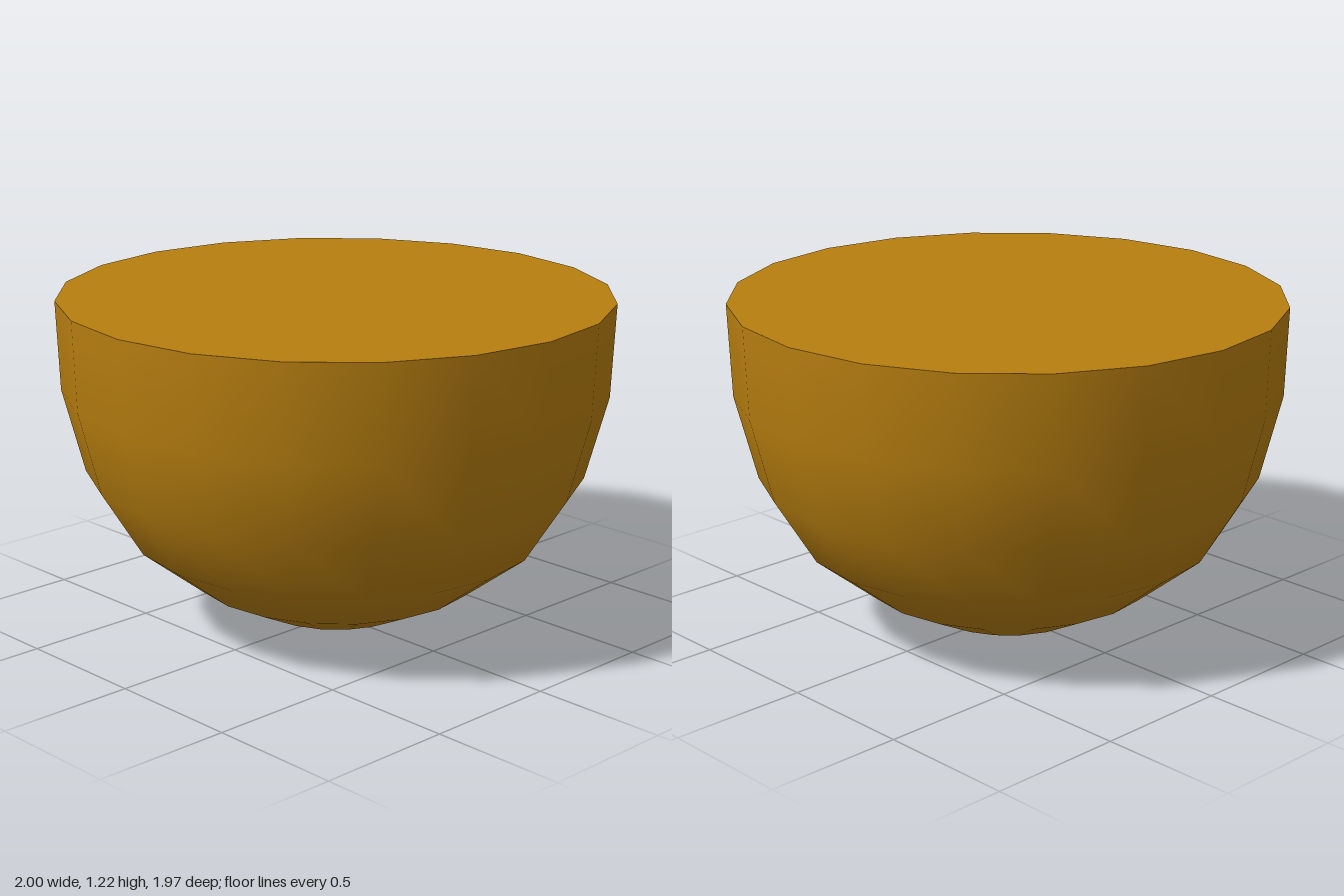
import * as THREE from 'three';

const SIDES = 20;
const RIM = 1.225;
const DEPTH = 0.987; // slight squash front to back

// Bowl outline as [radius, height], bottom to rim
const profile = [
  [0, 0.006], [0.14, 0.01], [0.3, 0.05], [0.53, 0.165],
  [0.76, 0.345], [0.91, 0.59], [0.988, 0.895], [1, RIM],
];

// Height of the bowl surface at a given radius
function heightAt(r) {
  for (let i = 1; i < profile.length; i++) {
    const [r0, y0] = profile[i - 1];
    const [r1, y1] = profile[i];
    if (r <= r1) return y0 + ((y1 - y0) * (r - r0)) / (r1 - r0);
  }
  return RIM;
}

// Lean the bowl slightly below its level rim
function lean(geometry) {
  const p = geometry.attributes.position;
  for (let i = 0; i < p.count; i++) {
    const x = p.getX(i), y = p.getY(i), z = p.getZ(i);
    const drop = RIM - y;
    const tilt = drop > 0.01 ? -0.016 * x - 0.004 * z : 0;
    p.setXYZ(i, x - 0.022 * drop, y + tilt, (z - 0.015 * drop) * DEPTH);
  }
  return geometry;
}

export function createModel() {
  const group = new THREE.Group();
  const shellColour = new THREE.MeshStandardMaterial({ color: 0xb87f10 });
  shellColour.name = 'golden brown';
  const spotColour = new THREE.MeshStandardMaterial({ color: 0x64380f });
  spotColour.name = 'dark brown';

  const add = (name, geometry, material) => {
    const mesh = new THREE.Mesh(geometry, material);
    mesh.name = name;
    group.add(mesh);
  };

  // Rounded bowl
  const points = profile.map(([r, y]) => new THREE.Vector2(r, y));
  add('bowl', lean(new THREE.LatheGeometry(points, SIDES)), shellColour);

  // Flat lid closing the rim
  const lid = new THREE.CircleGeometry(1, SIDES);
  lid.rotateX(-Math.PI / 2).translate(0, RIM, 0).scale(1, 1, DEPTH);
  add('lid', lid, shellColour);

  // Dark spot following the underside
  const spot = new THREE.RingGeometry(0, 0.12, 12, 4);
  spot.rotateX(Math.PI / 2).translate(0.08, 0, 0.14);
  const p = spot.attributes.position;
  for (let i = 0; i < p.count; i++) {
    p.setY(i, heightAt(Math.hypot(p.getX(i), p.getZ(i))) - 0.005);
  }
  lean(spot).computeVertexNormals();
  add('undersideSpot', spot, spotColour);

  return group;
}
